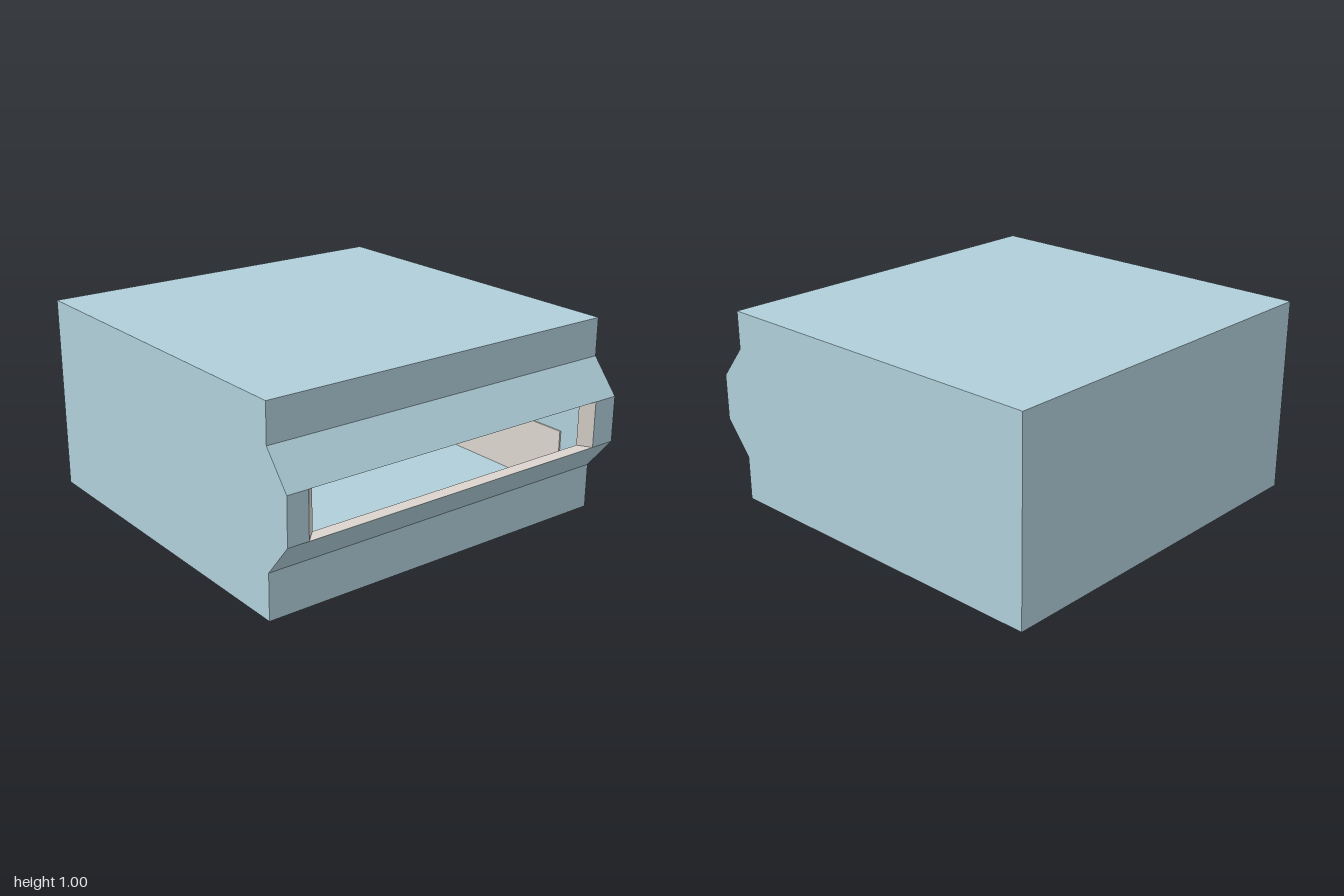
import * as THREE from 'three';

const shellBlue = new THREE.MeshStandardMaterial({ color: 0xb0cfda });
shellBlue.name = 'pale blue';
const liningGrey = new THREE.MeshStandardMaterial({ color: 0xdcd5ce, side: THREE.DoubleSide });
liningGrey.name = 'warm light grey';

// Extents of the body and of the slot
const HALF_DEPTH = 0.975, SLOT_FRONT = 0.865, SLOT_BACK = -0.84;
const LIP_LOW = 0.4, LIP_HIGH = 0.635, WALL = 0.06;

// Outer side profile, from the upper lip round the back to the lower lip
const outer = [
  [1, LIP_HIGH], [0.86, 0.805], [0.86, 1], [-1, 1],
  [-1, 0], [0.86, 0], [0.86, 0.23], [1, LIP_LOW],
];
// Cavity profile, from the lower lip back to the upper lip
const inner = [
  [1 - WALL, LIP_LOW], [0.8, 0.23], [0.8, 0.11], [-0.94, 0.11],
  [-0.94, 0.9], [0.8, 0.9], [0.8, 0.805], [1 - WALL, LIP_HIGH],
];

function slab(name, points, zStart, zEnd) {
  const shape = new THREE.Shape(points.map(([x, y]) => new THREE.Vector2(x, y)));
  const geometry = new THREE.ExtrudeGeometry(shape, { depth: zEnd - zStart, bevelEnabled: false });
  geometry.translate(0, 0, zStart);
  const mesh = new THREE.Mesh(geometry, shellBlue);
  mesh.name = name;
  return mesh;
}

function box(name, material, [x0, x1], [y0, y1], [z0, z1]) {
  const geometry = new THREE.BoxGeometry(x1 - x0, y1 - y0, z1 - z0);
  geometry.translate((x0 + x1) / 2, (y0 + y1) / 2, (z0 + z1) / 2);
  const mesh = new THREE.Mesh(geometry, material);
  mesh.name = name;
  return mesh;
}

// Tapering collar inside the slot: a loop of four sloping faces
function slotLining() {
  const loop = (x, y0, y1, z0, z1) => [[x, y0, z0], [x, y0, z1], [x, y1, z1], [x, y1, z0]];
  const mouth = loop(1, LIP_LOW, LIP_HIGH, SLOT_BACK, SLOT_FRONT);
  const throat = loop(1 - WALL, LIP_LOW + 0.005, LIP_HIGH - 0.005, -0.79, 0.805);
  const positions = [];
  for (let i = 0; i < 4; i++) {
    const j = (i + 1) % 4;
    for (const p of [mouth[i], mouth[j], throat[j], mouth[i], throat[j], throat[i]]) positions.push(...p);
  }
  const geometry = new THREE.BufferGeometry();
  geometry.setAttribute('position', new THREE.Float32BufferAttribute(positions, 3));
  geometry.computeVertexNormals();
  const mesh = new THREE.Mesh(geometry, liningGrey);
  mesh.name = 'slotLining';
  return mesh;
}

export function createModel() {
  const model = new THREE.Group();
  model.name = 'slottedBox';
  model.add(
    // Hollow middle and the two solid end walls
    slab('hollowBody', [...outer, ...inner], SLOT_BACK, SLOT_FRONT),
    slab('frontWall', outer, SLOT_FRONT, HALF_DEPTH),
    slab('backWall', outer, -HALF_DEPTH, SLOT_BACK),
    slotLining(),
    // Fittings inside the cavity
    box('innerRail', shellBlue, [-0.94, 0.79], [0.73, 0.9], [0.765, SLOT_FRONT]),
    box('innerPanel', liningGrey, [-0.94, 0.79], [0.11, 0.42], [SLOT_BACK, SLOT_BACK + 0.008]),
  );
  return model;
}
